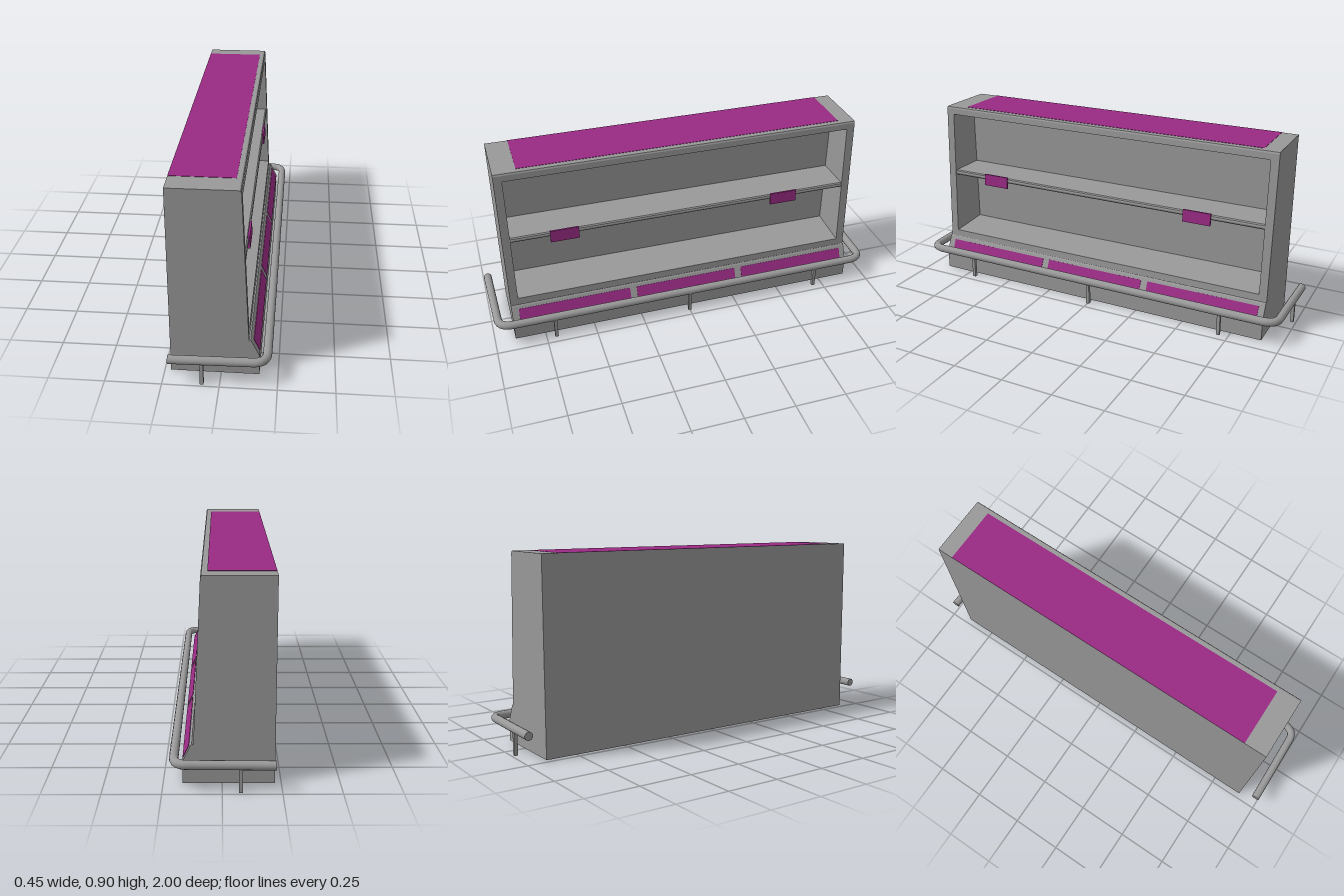
import * as THREE from 'three';

export function createModel() {
  const root = new THREE.Group();
  root.name = 'displayCabinet';
  const grey = new THREE.MeshStandardMaterial({ color: 0x999999 });
  grey.name = 'cabinet grey';
  const magenta = new THREE.MeshStandardMaterial({ color: 0x992b84 });
  magenta.name = 'panel magenta';

  const add = (name, geometry, material, x = 0, y = 0, z = 0) => {
    const mesh = new THREE.Mesh(geometry, material);
    mesh.name = name;
    mesh.position.set(x, y, z);
    root.add(mesh);
    return mesh;
  };
  const box = (name, w, h, d, x, y, z, material = grey) =>
    add(name, new THREE.BoxGeometry(w, h, d), material, x, y, z);
  // Side profile (x, y) drawn out along z from z0 to z1
  const slab = (name, points, z0, z1) => {
    const shape = new THREE.Shape(points.map(([x, y]) => new THREE.Vector2(x, y)));
    const geometry = new THREE.ExtrudeGeometry(shape, { depth: z1 - z0, bevelEnabled: false });
    return add(name, geometry, grey, 0, 0, z0);
  };
  // x of the leaning front at height y
  const frontX = (y) => 0.121 - (y - 0.18) * 0.0465;

  // Outer outline shared by the shell and its end sheets
  const outline = [[-0.223, 0], [0.168, 0], [0.168, 0.1], [0.134, 0.172], [0.128, 0.18],
    [frontX(0.175), 0.175], [frontX(0.89), 0.89], [0.084, 0.898], [0.078, 0.9], [-0.223, 0.9]];

  // Shell: back, top, floor and front plinth, hollow below
  slab('shell', [
    [-0.223, 0], [-0.219, 0], [-0.219, 0.232], [0.105, 0.195], [0.164, 0.1], [0.164, 0],
    ...outline.slice(1, 6), [frontX(0.21), 0.21], [-0.09, 0.225], [-0.09, 0.86],
    [frontX(0.86), 0.86], ...outline.slice(6),
  ], -0.897, 0.897);

  // Ends: thin outer sheets and thicker cheeks beside the opening
  for (const side of [-1, 1]) {
    const span = (a, b) => (side > 0 ? [a, b] : [-b, -a]);
    slab('endSheet', outline, ...span(0.897, 0.9));
    slab('endCheek', [[-0.09, 0.225], [frontX(0.21), 0.21], [frontX(0.86), 0.86], [-0.09, 0.86]],
      ...span(0.86, 0.897));
  }

  // Shelf with a rounded front edge
  slab('shelf', [[-0.09, 0.527], [0.094, 0.527], [0.1, 0.532], [0.102, 0.54], [0.1, 0.548],
    [0.094, 0.553], [-0.09, 0.553]], -0.86, 0.86);

  // Tags on the shelf edge
  for (const z of [0.6, -0.53]) {
    box('shelfTag', 0.01, 0.06, 0.14, 0.103, 0.53, z, magenta).rotation.z = 0.05;
  }

  // Painted top panel
  box('topPanel', 0.283, 0.003, 1.61, -0.0815, 0.9, -0.015, magenta);

  // Panels on the sloping plinth
  const slope = Math.atan2(0.034, 0.072);
  for (const [z0, z1] of [[0.3, 0.865], [-0.265, 0.265], [-0.87, -0.3]]) {
    box('plinthPanel', 0.004, 0.062, z1 - z0, 0.153, 0.132, (z0 + z1) / 2, magenta).rotation.z = slope;
  }

  // Bumper rail around three sides
  const v = (x, z) => new THREE.Vector3(x, 0.12, z);
  const path = new THREE.CurvePath();
  path.add(new THREE.LineCurve3(v(-0.223, -0.98), v(0.145, -0.973)));
  path.add(new THREE.QuadraticBezierCurve3(v(0.145, -0.973), v(0.203, -0.972), v(0.203, -0.9)));
  path.add(new THREE.LineCurve3(v(0.203, -0.9), v(0.203, 0.9)));
  path.add(new THREE.QuadraticBezierCurve3(v(0.203, 0.9), v(0.203, 0.972), v(0.145, 0.973)));
  path.add(new THREE.LineCurve3(v(0.145, 0.973), v(-0.223, 0.98)));
  add('rail', new THREE.TubeGeometry(path, 160, 0.02, 14), grey);
  for (const side of [-1, 1]) {
    add('railCap', new THREE.CircleGeometry(0.02, 14), grey, -0.223, 0.12, side * 0.98)
      .rotation.y = -Math.PI / 2;
    box('railLeg', 0.016, 0.11, 0.016, -0.077, 0.055, side * 0.98);
  }
  for (const z of [-0.7, 0, 0.7]) box('railLeg', 0.016, 0.11, 0.016, 0.205, 0.055, z);

  return root;
}
